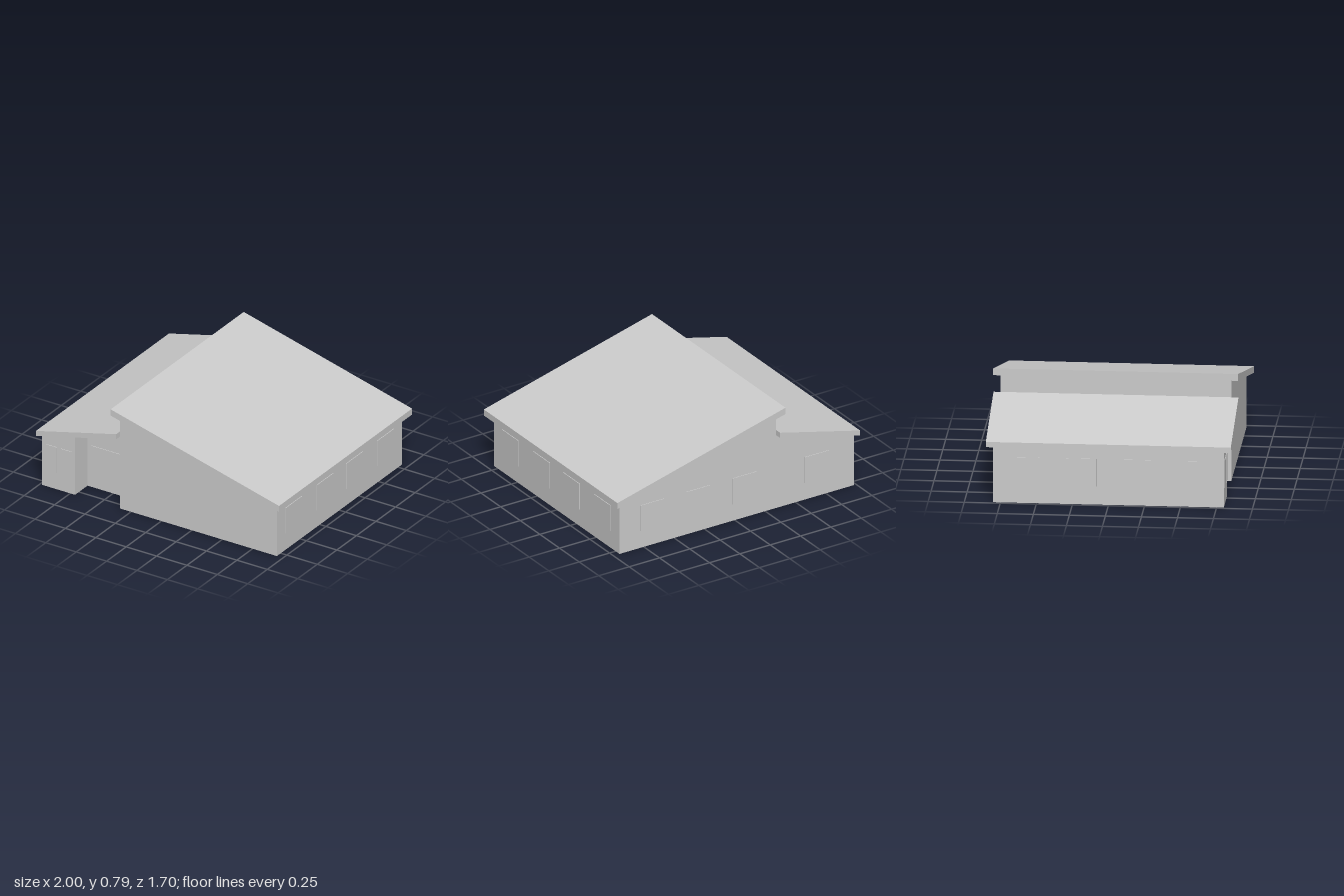
import * as THREE from 'three';

export function createModel() {
  const model = new THREE.Group();
  const solid = new THREE.MeshStandardMaterial({ color: 0xcccccc, flatShading: true });
  const sheet = new THREE.MeshStandardMaterial({ color: 0xcccccc, flatShading: true, side: THREE.DoubleSide });

  const LEFT = -0.98, STEP = -0.34, RIGHT = 0.95, BLOCK = -0.71; // wall lines along x
  const DEPTH = 0.8, PORCH = 0.64, EAVE = 0.85;                  // wall and roof lines along z

  const add = (name, geometry, material) => {
    const mesh = new THREE.Mesh(geometry, material);
    mesh.name = name;
    model.add(mesh);
    return mesh;
  };
  const outline = pts => new THREE.Shape(pts.map(([x, y]) => new THREE.Vector2(x, y)));

  // thin wall in the x-y plane
  const wall = (name, pts, z) => {
    add(name, new THREE.ShapeGeometry(outline(pts)), sheet).position.z = z;
  };
  // thin wall in the z-y plane
  const sideWall = (name, x, z0, z1, y0, y1) => {
    const g = new THREE.PlaneGeometry(z1 - z0, y1 - y0).rotateY(Math.PI / 2);
    add(name, g, sheet).position.set(x, (y0 + y1) / 2, (z0 + z1) / 2);
  };
  // sloping roof slab with vertical ends
  const roof = (name, pts) => {
    const g = new THREE.ExtrudeGeometry(outline(pts), { depth: 2 * EAVE, bevelEnabled: false });
    add(name, g.translate(0, 0, -EAVE), solid);
  };

  // roofs
  roof('mainRoof', [[-0.385, 0.738], [1, 0.383], [1, 0.43], [-0.385, 0.787]]);
  roof('annexRoof', [[-1, 0.402], [STEP, 0.565], [STEP, 0.605], [-1, 0.44]]);

  // front walls, with the porch set back between the hall and the corner block
  wall('hallFrontWall', [[STEP, 0], [RIGHT, 0], [RIGHT, 0.396], [STEP, 0.727]], DEPTH);
  wall('blockFrontWall', [[LEFT, 0], [BLOCK, 0], [BLOCK, 0.466], [LEFT, 0.405]], DEPTH);
  wall('porchBackWall', [[BLOCK, 0], [STEP, 0], [STEP, 0.565], [BLOCK, 0.466]], PORCH);
  sideWall('porchLeftWall', STEP, PORCH, DEPTH, 0, 0.565);
  sideWall('porchRightWall', BLOCK, PORCH, DEPTH, 0, 0.466);

  // back and side walls, and the raised strip between the two roofs
  wall('backWall', [[LEFT, 0], [RIGHT, 0], [RIGHT, 0.396], [STEP, 0.727], [STEP, 0.565], [LEFT, 0.407]], -DEPTH);
  sideWall('hallSideWall', RIGHT, -DEPTH, DEPTH, 0, 0.396);
  sideWall('annexSideWall', LEFT, -DEPTH, DEPTH, 0, 0.407);
  sideWall('clerestoryWall', STEP, -DEPTH, DEPTH, 0.565, 0.727);

  // windows and door as thin panels set through the walls
  const THIN = 0.01;
  const panel = (name, w, h, d, x, y, z) =>
    add(name, new THREE.BoxGeometry(w, h, d), solid).position.set(x, y, z);

  for (const z of [-0.585, -0.19, 0.19, 0.585]) {
    panel('hallSideWindow', THIN, 0.2, 0.21, RIGHT, 0.23, z);
    panel('annexSideWindow', THIN, 0.2, 0.21, LEFT, 0.23, z);
  }
  for (const x of [-0.675, -0.08, 0.3, 0.68]) panel('backWindow', 0.2, 0.2, THIN, x, 0.23, -DEPTH);
  for (const x of [-0.9, -0.78]) panel('blockWindow', 0.085, 0.2, THIN, x, 0.23, DEPTH);
  panel('porchDoor', 0.31, 0.32, THIN, -0.525, 0.165, PORCH);

  return model;
}
